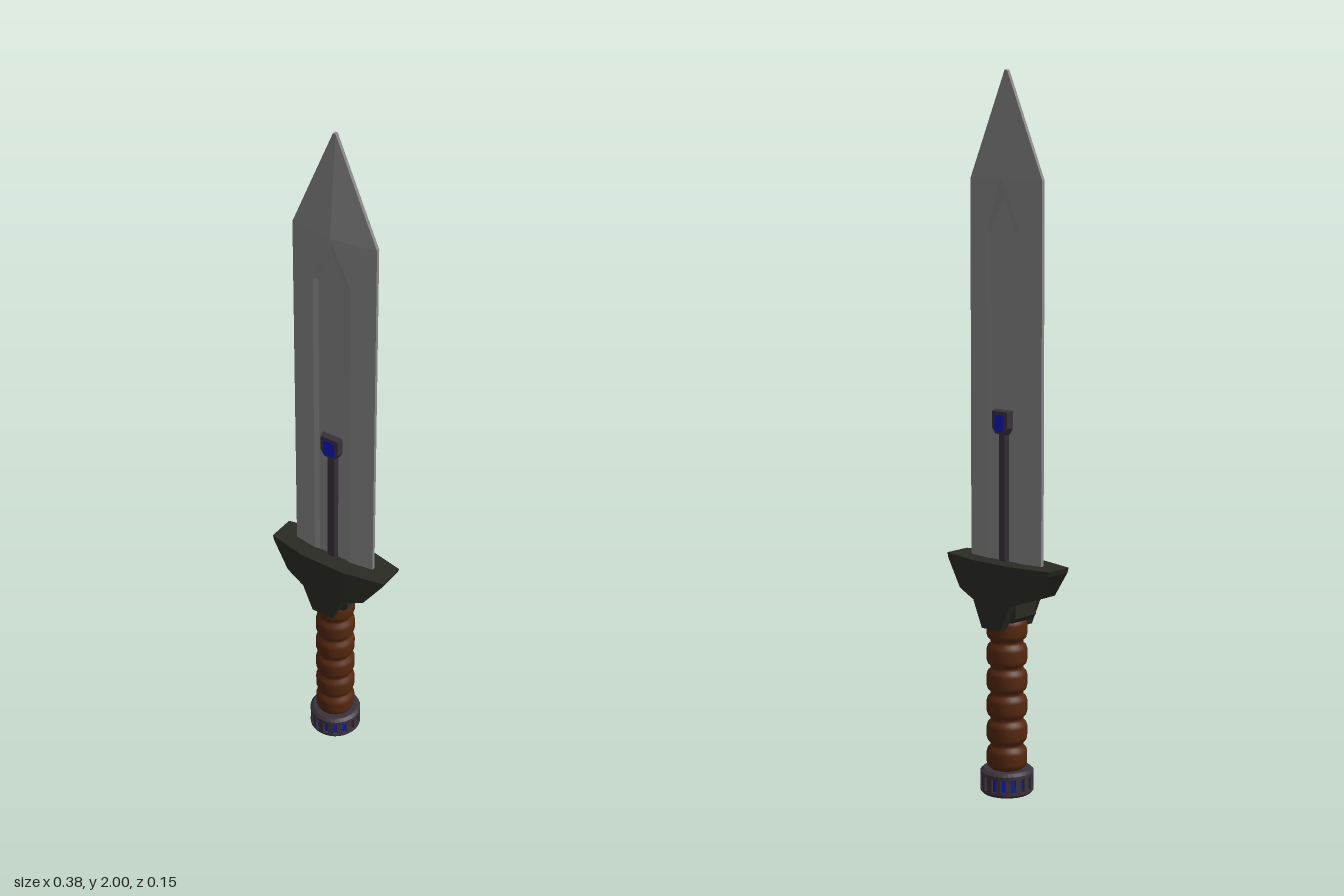
import * as THREE from 'three';

const mat = (color, flatShading = true) =>
  new THREE.MeshStandardMaterial({ color, flatShading, side: THREE.DoubleSide });
const steel = mat(0x888888);
const olive = mat(0x2b2b24);
const iron = mat(0x3a323c);
const blue = mat(0x1018c0);
const leather = mat(0x552810, false);

function add(parent, name, geometry, material) {
  const mesh = new THREE.Mesh(geometry, material);
  mesh.name = name;
  parent.add(mesh);
  return mesh;
}

// Extrude an outline in the XY plane from z0 to z1
function plate(points, z0, z1) {
  const shape = new THREE.Shape(points.map(([x, y]) => new THREE.Vector2(x, y)));
  const g = new THREE.ExtrudeGeometry(shape, { depth: z1 - z0, bevelEnabled: false });
  return g.translate(0, 0, z0);
}

const lathe = (points, n) =>
  new THREE.LatheGeometry(points.map(([r, y]) => new THREE.Vector2(r, y)), n);

// Blade: closed cross-sections joined up the length, with a sunken fuller
function bladeGeometry() {
  const slope = (x) => 0.005 + 0.02 * (1 - x / 0.13);
  // y, half width, fuller rim x, fuller floor x, floor z
  const rows = [
    [0.6, 0.13, 0.06, 0.045, 0.012],
    [1.57, 0.13, 0.06, 0.045, 0.012],
    [1.66, 0.13, 0.021, 0, 0.012],
    [1.71, 0.13, 0, 0, 0.025],
    [2.0, 0.004, 0, 0, 0.005],
  ];
  const pos = [];
  const index = [];
  for (const [y, w, rim, floor, fz] of rows) {
    const rimZ = y === 2 ? 0.005 : slope(rim);
    const half = [[w, 0.005], [rim, rimZ], [floor, fz], [0, fz]];
    const front = [...half, ...half.slice(0, 3).reverse().map(([x, z]) => [-x, z])];
    const loop = [...front, ...front.map(([x, z]) => [-x, -z])];
    loop.forEach(([x, z]) => pos.push(x, y, z));
  }
  const n = 14;
  for (let r = 0; r < rows.length - 1; r++) {
    for (let i = 0; i < n; i++) {
      const a = r * n + i;
      const b = r * n + ((i + 1) % n);
      index.push(a, a + n, b, b, a + n, b + n);
    }
  }
  // Tip cap
  const t = (rows.length - 1) * n;
  for (let i = 1; i < n - 1; i++) index.push(t, t + i + 1, t + i);
  const g = new THREE.BufferGeometry();
  g.setAttribute('position', new THREE.Float32BufferAttribute(pos, 3));
  g.setIndex(index);
  g.computeVertexNormals();
  return g;
}

export function createModel() {
  const model = new THREE.Group();
  model.name = 'shortSword';

  add(model, 'blade', bladeGeometry(), steel);

  // Rod and gem setting on each face of the blade
  for (const s of [1, -1]) {
    const inlay = new THREE.Group();
    inlay.name = s > 0 ? 'frontInlay' : 'backInlay';
    inlay.rotation.y = s > 0 ? 0 : Math.PI;
    const rod = plate([[-0.018, 0], [0.018, 0], [0.018, 0.012], [0.01, 0.021], [-0.01, 0.021], [-0.018, 0.012]], 0.62, 1.04);
    rod.rotateX(-Math.PI / 2).scale(1, 1, -1);
    add(inlay, 'rod', rod, iron);
    const outline = [[-0.035, 1.088], [-0.035, 1.035], [-0.02, 1.015], [0.02, 1.015], [0.035, 1.035], [0.035, 1.088]];
    const setting = plate(outline, 0, 0.03);
    const p = setting.attributes.position;
    for (let i = 0; i < p.count; i++) {
      if (p.getZ(i) > 0.02) p.setXY(i, p.getX(i) * 0.8, 1.052 + (p.getY(i) - 1.052) * 0.85);
    }
    setting.computeVertexNormals();
    add(inlay, 'gemSetting', setting, iron);
    add(inlay, 'gem', new THREE.BoxGeometry(0.034, 0.046, 0.006), blue).position.set(0, 1.05, 0.029);
    model.add(inlay);
  }

  // Guard: core, collar, front and back plates, tapered wings
  const guard = new THREE.Group();
  guard.name = 'guard';
  add(guard, 'core', new THREE.BoxGeometry(0.14, 0.11, 0.13), olive).position.y = 0.61;
  add(guard, 'collar', plate([[-0.07, 0.56], [-0.07, 0.515], [-0.055, 0.5], [0.055, 0.5], [0.07, 0.515], [0.07, 0.56]], -0.042, 0.042), olive);
  for (const s of [1, -1]) {
    const tongue = [[-0.07, 0.56], [-0.035, 0.478], [0.035, 0.478], [0.07, 0.56]];
    add(guard, s > 0 ? 'frontTongue' : 'backTongue', s > 0 ? plate(tongue, 0.04, 0.065) : plate(tongue, -0.065, -0.04), olive);

    const wing = plate([[0.07, 0.555], [0.13, 0.575], [0.185, 0.65], [0.19, 0.665], [0.07, 0.665]], -1, 1);
    const p = wing.attributes.position;
    for (let i = 0; i < p.count; i++) {
      p.setZ(i, p.getZ(i) * (0.065 - (0.025 * (p.getX(i) - 0.07)) / 0.12));
    }
    wing.computeVertexNormals();
    add(guard, s > 0 ? 'leftWing' : 'rightWing', wing, olive).rotation.y = s > 0 ? 0 : Math.PI;
  }
  model.add(guard);

  // Grip: rounded leather rings with grooves between
  const grip = [];
  for (let i = 0; i < 6; i++) {
    const y = 0.065 + i * 0.074;
    grip.push([0.046, y], [0.047, y + 0.006], [0.054, y + 0.012], [0.057, y + 0.022],
      [0.057, y + 0.052], [0.054, y + 0.062], [0.047, y + 0.068]);
  }
  add(model, 'grip', lathe(grip, 32), leather);

  // Pommel: blue core held in a toothed iron cage
  const pommel = new THREE.Group();
  pommel.name = 'pommel';
  add(pommel, 'core', new THREE.CylinderGeometry(0.067, 0.067, 0.05, 32), blue).position.y = 0.033;
  add(pommel, 'topRing', lathe([[0.04, 0.07], [0.066, 0.07], [0.075, 0.062], [0.075, 0.053], [0.06, 0.053]], 32), iron);
  add(pommel, 'bottomRing', lathe([[0.06, 0.014], [0.075, 0.014], [0.075, 0.007], [0.069, 0], [0.056, 0], [0.056, 0.012]], 32), iron);
  const teeth = 16;
  for (let i = 0; i < teeth; i++) {
    const a = (i / teeth) * Math.PI * 2;
    const tooth = add(pommel, 'tooth', new THREE.BoxGeometry(0.016, 0.044, 0.012), iron);
    tooth.position.set(Math.sin(a) * 0.068, 0.033, Math.cos(a) * 0.068);
    tooth.rotation.y = a;
  }
  model.add(pommel);

  return model;
}
